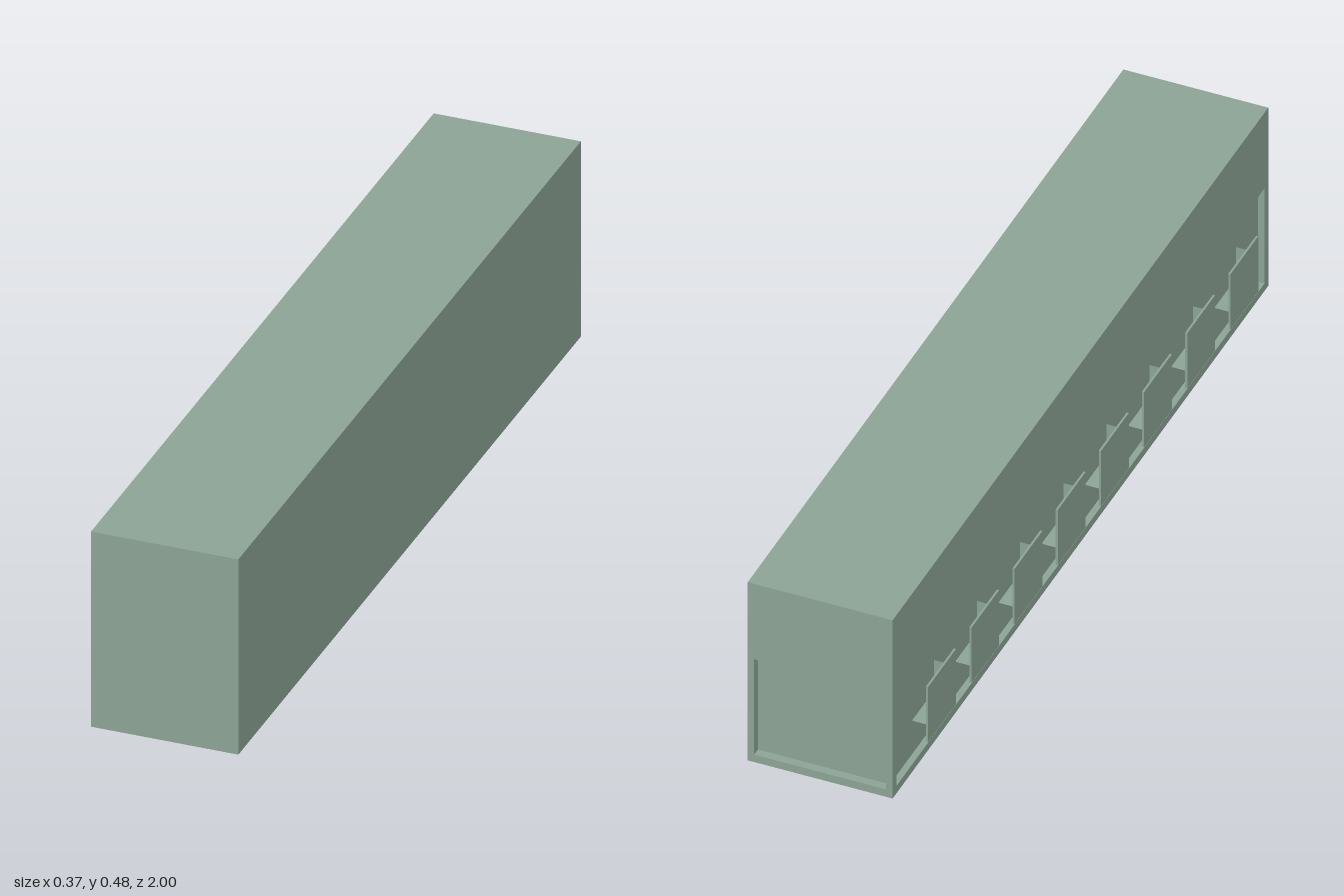
import * as THREE from 'three';

const LEFT = 0.184, RIGHT = -0.155, H = 0.477;   // body extents in x and y
const SIDE_DEPTH = 0.015, BACK_DEPTH = 0.02;     // recess depths
const PANEL = [0.02, 0.275];                     // recess bottom and top

export function createModel() {
  const green = new THREE.MeshStandardMaterial({ color: 0x8da697 });
  green.name = 'sage green';
  const model = new THREE.Group();
  model.name = 'longCabinet';

  const add = (parent, name, geometry) => {
    const mesh = new THREE.Mesh(geometry, green);
    mesh.name = name;
    parent.add(mesh);
    return mesh;
  };
  // Box given by its lower and upper corners
  const box = (x0, x1, y0, y1, z0, z1) =>
    new THREE.BoxGeometry(x1 - x0, y1 - y0, z1 - z0)
      .translate((x0 + x1) / 2, (y0 + y1) / 2, (z0 + z1) / 2);
  const rectangle = (path, u0, u1, v0, v1) =>
    path.moveTo(u0, v0).lineTo(u1, v0).lineTo(u1, v1).lineTo(u0, v1).closePath();
  // Full-height wall with a rectangular opening
  const frame = (u0, u1, hole0, hole1, depth) => {
    const shape = rectangle(new THREE.Shape(), u0, u1, 0, H);
    shape.holes.push(rectangle(new THREE.Path(), hole0, hole1, ...PANEL));
    return new THREE.ExtrudeGeometry(shape, { depth, bevelEnabled: false });
  };

  // Solid body, whose faces form the recess floors
  const floorX = RIGHT + SIDE_DEPTH;
  add(model, 'body', box(floorX, LEFT, 0, H, -1 + BACK_DEPTH, 1));

  // Wall around the long recess on the right side
  add(model, 'sideFrame', frame(-1, 1, -0.98, 0.98, SIDE_DEPTH)
    .rotateY(-Math.PI / 2).translate(floorX, 0, 0));

  // Wall around the recess at the back end
  add(model, 'backFrame', frame(floorX, LEFT, -0.139, 0.169, BACK_DEPTH)
    .translate(0, 0, -1));

  // Row of eight knobs: a short post with a thin square plate
  for (let i = 0; i < 8; i++) {
    const knob = new THREE.Group();
    knob.name = `knob${i + 1}`;
    knob.position.z = (i - 3.5) * 0.23;
    add(knob, 'post', box(floorX, -0.18, 0.11, 0.193, -0.058, 0.058));
    add(knob, 'plate', box(-0.185, -0.18, 0.077, 0.225, -0.074, 0.074));
    model.add(knob);
  }
  return model;
}
